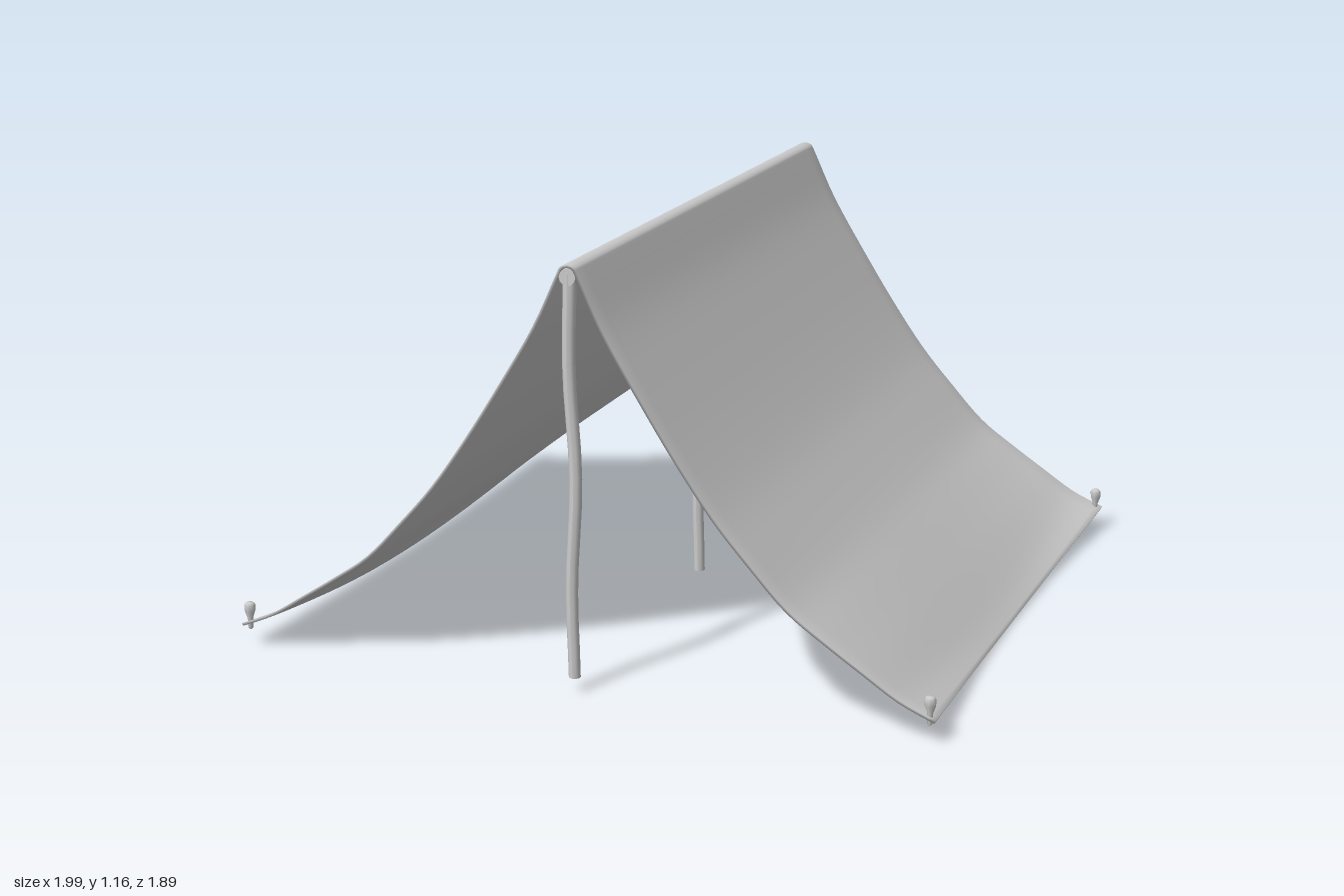
import * as THREE from 'three';

const material = new THREE.MeshStandardMaterial({ color: 0xcccccc });
const DEPTH = 0.945, THICK = 0.008;

// Half profile from ridge to hem: shared upper part, then hem at mid length and at the ends
const UPPER = [[0, 1.163], [0.019, 1.156], [0.034, 1.128], [0.1, 0.99], [0.2, 0.825], [0.3, 0.67], [0.4, 0.53], [0.5, 0.415], [0.6, 0.31]];
const HEM_MID = [[0.7, 0.222], [0.8, 0.135], [0.9, 0.046], [0.956, 0.004]];
const HEM_END = [[0.7, 0.238], [0.8, 0.172], [0.9, 0.108], [0.997, 0.066]];

function profileAt(z) {
  const k = (z / DEPTH) ** 2;
  const hem = HEM_MID.map(([x, y], i) => [x + (HEM_END[i][0] - x) * k, y + (HEM_END[i][1] - y) * k]);
  const pts = [...UPPER, ...hem].map(([x, y]) => new THREE.Vector2(x, y));
  const half = new THREE.SplineCurve(pts).getPoints(48);
  const left = half.slice(1).reverse().map(p => new THREE.Vector2(-p.x, p.y));
  return [...left, ...half];
}

// Closed cloth slab: upper skin then lower skin, swept along z with smooth rims
function makeCloth() {
  const rows = [];
  for (let i = 0; i <= 32; i++) rows.push(-DEPTH + (2 * DEPTH * i) / 32);
  const positions = [], index = [];
  let n = 0;
  for (const z of rows) {
    const line = profileAt(z);
    n = line.length;
    const under = line.map((p, i) => {
      const a = line[Math.max(i - 1, 0)], b = line[Math.min(i + 1, n - 1)];
      const t = b.clone().sub(a).normalize();
      return new THREE.Vector2(p.x + t.y * THICK, Math.max(p.y - t.x * THICK, 0));
    });
    for (const p of [...line, ...under.reverse()]) positions.push(p.x, p.y, z);
  }
  const ring = 2 * n, last = (rows.length - 1) * ring;
  for (let r = 0; r < rows.length - 1; r++) {
    for (let i = 0; i < ring; i++) {
      const a = r * ring + i, b = r * ring + (i + 1) % ring;
      index.push(a, a + ring, b, b, a + ring, b + ring);
    }
  }
  // Rims at both ends
  for (let i = 0; i < n - 1; i++) {
    const j = ring - 1 - i;
    index.push(i, i + 1, j, i + 1, j - 1, j);
    index.push(last + i, last + j, last + i + 1, last + i + 1, last + j, last + j - 1);
  }
  const g = new THREE.BufferGeometry();
  g.setAttribute('position', new THREE.Float32BufferAttribute(positions, 3));
  g.setIndex(index);
  g.computeVertexNormals();
  return g;
}

// Slightly crooked upright pole
function makePole(bend) {
  const bottom = 0.04, height = 1.1;
  const g = new THREE.CylinderGeometry(0.018, 0.016, height, 10, 14);
  g.translate(0, bottom + height / 2, 0);
  const p = g.attributes.position;
  for (let i = 0; i < p.count; i++) {
    const t = (p.getY(i) - bottom) / height;
    p.setX(i, p.getX(i) + bend * Math.sin(t * Math.PI) * Math.sin(t * 9 + 3.4));
  }
  g.computeVertexNormals();
  return g;
}

// Corner peg with a swollen head
function makePeg() {
  const outline = [[0, 0.045], [0.007, 0.05], [0.008, 0.08], [0.015, 0.1], [0.016, 0.117], [0.011, 0.124], [0, 0.125]];
  return new THREE.LatheGeometry(outline.map(([r, y]) => new THREE.Vector2(r, y)), 8);
}

export function createModel() {
  const model = new THREE.Group();
  const add = (name, geometry, x = 0, y = 0, z = 0) => {
    const mesh = new THREE.Mesh(geometry, material);
    mesh.name = name;
    mesh.position.set(x, y, z);
    model.add(mesh);
    return mesh;
  };

  const cloth = add('tentCloth', makeCloth());
  cloth.material = material.clone();
  cloth.material.side = THREE.DoubleSide;

  // Ridge pole under the fold
  const ridge = new THREE.CylinderGeometry(0.023, 0.023, 1.89, 12);
  ridge.rotateX(Math.PI / 2);
  add('ridgePole', ridge, 0, 1.13, 0);

  // Three upright poles along the ridge
  add('frontPole', makePole(0.01), 0, 0, 0.928);
  add('middlePole', makePole(0.009), 0, 0, 0);
  add('backPole', makePole(0.01), 0, 0, -0.926);

  // Pegs at the four corners
  for (const sx of [-1, 1]) {
    for (const sz of [-1, 1]) {
      const name = (sz > 0 ? 'front' : 'back') + (sx > 0 ? 'Left' : 'Right') + 'Peg';
      add(name, makePeg(), sx * 0.978, 0, sz * 0.93);
    }
  }
  return model;
}
